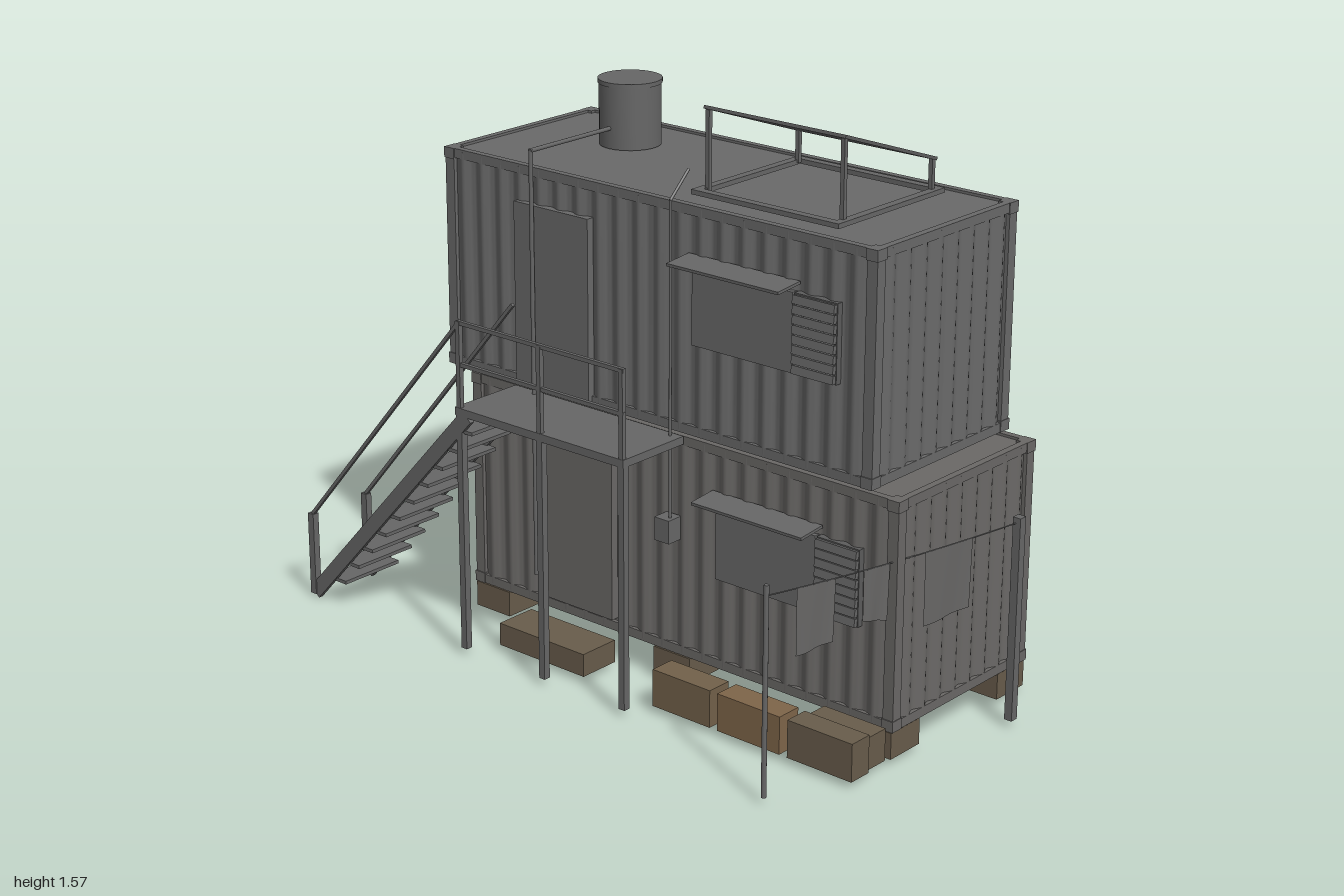
import * as THREE from 'three';
import { toCreasedNormals } from 'three/addons/utils/BufferGeometryUtils.js';

const paint = (color, extra = {}) => new THREE.MeshStandardMaterial({ color, ...extra });
const steel = paint(0x666666);
const upperWall = paint(0x696969);
const lowerWall = paint(0x6a6866);
const darkSteel = paint(0x5c5c5c);
const fabric = paint(0x666564, { side: THREE.DoubleSide });
const timber = paint(0x685c4b);
const brownTimber = paint(0x72614a);
const lightTimber = paint(0x7e6549);

export function createModel() {
  const root = new THREE.Group();

  const add = (name, geometry, material = steel, parent = root) => {
    const mesh = new THREE.Mesh(geometry, material);
    mesh.name = name;
    parent.add(mesh);
    return mesh;
  };
  // Box given by its limits on each axis
  const box = (name, [x0, x1], [y0, y1], [z0, z1], material = steel, parent = root) => {
    const mesh = add(name, new THREE.BoxGeometry(x1 - x0, y1 - y0, z1 - z0), material, parent);
    mesh.position.set((x0 + x1) / 2, (y0 + y1) / 2, (z0 + z1) / 2);
    return mesh;
  };
  // Rectangular beam between two points
  const beam = (name, a, b, w, h = w, material = steel) => {
    const p = new THREE.Vector3(...a), q = new THREE.Vector3(...b);
    const mesh = add(name, new THREE.BoxGeometry(w, h, p.distanceTo(q)), material);
    mesh.position.copy(p).lerp(q, 0.5);
    mesh.lookAt(q);
  };
  // Round pipe made of straight runs through a few points
  const pipe = (name, points, r) => {
    for (let i = 1; i < points.length; i++) {
      const p = new THREE.Vector3(...points[i - 1]), q = new THREE.Vector3(...points[i]);
      const run = new THREE.CylinderGeometry(r, r, p.distanceTo(q) + r, 10).rotateX(Math.PI / 2);
      const mesh = add(name, run);
      mesh.position.copy(p).lerp(q, 0.5);
      mesh.lookAt(q);
    }
  };

  // Wavy container outline, extruded upwards
  const ribbedWalls = (length, width, height) => {
    const pts = [], depth = 0.012, steps = 10, centre = new THREE.Vector2();
    const sides = [[length, width, 20], [width, length, 8], [length, width, 20], [width, length, 8]];
    sides.forEach(([len, across, ribs], turn) => {
      const run = len - 0.06, n = ribs * steps;
      for (let i = 0; i <= n; i++) {
        const d = depth * (0.5 + 0.5 * Math.cos(i / steps * Math.PI * 2));
        pts.push(new THREE.Vector2(-run / 2 + run * i / n, -across / 2 + d).rotateAround(centre, turn * Math.PI / 2));
      }
    });
    const g = new THREE.ExtrudeGeometry(new THREE.Shape(pts), { depth: height, bevelEnabled: false });
    return toCreasedNormals(g.rotateX(-Math.PI / 2), 0.7);
  };

  const container = (name, cx, y0, h, material) => {
    const g = new THREE.Group(), L = 1.46, W = 0.58;
    g.name = name;
    g.position.set(cx, y0, -0.185);
    root.add(g);
    add('ribbedWalls', ribbedWalls(L + 0.001, W + 0.001, h - 0.014), material, g).position.y = 0.007;
    for (const s of [-1, 1]) {
      for (const y of [0, h - 0.026]) {
        const z = s * (W / 2 - 0.01), x = s * (L / 2 - 0.01);
        box('longRail', [-L / 2, L / 2], [y, y + 0.026], [z - 0.01, z + 0.01], material, g);
        box('endRail', [x - 0.01, x + 0.01], [y, y + 0.026], [-W / 2, W / 2], material, g);
      }
      for (const t of [-1, 1]) {
        const x = s * (L / 2 - 0.016), z = t * (W / 2 - 0.016);
        box('cornerPost', [x - 0.016, x + 0.016], [0, h], [z - 0.016, z + 0.016], material, g);
        for (const y of [0, h - 0.03])
          box('cornerCasting', [x - 0.018, x + 0.018], [y, y + 0.03], [z - 0.019, z + 0.019], material, g);
      }
    }
  };
  container('lowerContainer', 0.165, 0.1, 0.622, lowerWall);
  container('upperContainer', 0.08, 0.73, 0.615, upperWall);

  // Locking rods on the lower end
  for (const z of [-0.36, -0.24, -0.13, -0.01])
    pipe('lockRod', [[-0.578, 0.16, z], [-0.578, 0.67, z]], 0.006);

  // Foundation blocks, doorstep and timber planters
  for (const x of [-0.5, 0.163, 0.83])
    for (const z of [-0.415, 0.047])
      box('foundationBlock', [x - 0.063, x + 0.063], [0.025, 0.098], [z - 0.06, z + 0.06], timber);
  box('doorStep', [-0.325, -0.015], [0.025, 0.09], [0.135, 0.26], timber);
  box('planter', [0.24, 0.435], [0.025, 0.13], [0.195, 0.27], brownTimber);
  box('planter', [0.46, 0.665], [0.025, 0.13], [0.195, 0.27], lightTimber);
  box('planter', [0.69, 0.895], [0.025, 0.13], [0.2, 0.27], timber);
  box('backPlanter', [0.69, 0.885], [0.025, 0.115], [0.12, 0.197], timber);

  // Doors and entrance lamp
  box('lowerDoor', [-0.3, -0.04], [0.135, 0.625], [0.09, 0.118], lowerWall);
  box('upperDoor', [-0.385, -0.12], [0.74, 1.245], [0.09, 0.118], upperWall);
  box('lampPlate', [-0.21, -0.14], [0.625, 0.655], [0.1, 0.122]);
  const lamp = add('lamp', new THREE.SphereGeometry(0.012, 12, 8), darkSteel);
  lamp.position.set(-0.175, 0.632, 0.135);

  // Windows with awning and slatted shutter
  const windowUnit = (x, y) => {
    box('windowPane', [x, x + 0.325], [y, y + 0.21], [0.09, 0.115], upperWall);
    beam('awning', [x + 0.157, y + 0.234, 0.1], [x + 0.157, y + 0.226, 0.187], 0.36, 0.008);
    box('shutterBack', [x + 0.33, x + 0.465], [y, y + 0.21], [0.09, 0.114], darkSteel);
    for (let i = 0; i < 8; i++) {
      const yy = y + 0.003 + i * 0.026;
      box('shutterSlat', [x + 0.332, x + 0.463], [yy, yy + 0.022], [0.114, 0.126]).rotation.x = -0.15;
    }
  };
  windowUnit(0.235, 0.98);
  windowUnit(0.32, 0.358);

  // Landing with legs and railing
  box('landing', [-0.395, 0.205], [0.702, 0.724], [0.11, 0.343]);
  for (const x of [-0.382, -0.09, 0.195]) {
    box('landingLeg', [x - 0.01, x + 0.01], [0.025, 0.702], [0.322, 0.342]);
    box('railPost', [x - 0.007, x + 0.007], [0.72, 0.965], [0.328, 0.342]);
  }
  for (const y of [0.845, 0.961]) beam('landingRail', [-0.385, y, 0.335], [0.203, y, 0.335], 0.011);

  // Stairs with handrails
  for (const z of [0.13, 0.335]) {
    beam('stringer', [-0.983, 0.02, z], [-0.355, 0.705, z], 0.014, 0.042);
    box('newelPost', [-0.997, -0.975], [0.015, 0.26], [z - 0.01, z + 0.01]);
    beam('handrail', [-0.986, 0.258, z], [-0.382, 0.96, z], 0.01);
  }
  for (let i = 0; i < 10; i++) {
    const x = -0.895 + i * 0.0575, y = 0.08 + i * 0.064;
    box('tread', [x - 0.036, x + 0.036], [y - 0.005, y + 0.005], [0.13, 0.335]);
  }

  // Water tank with rim, and its downpipe
  const tankProfile = [[0, 0], [0.085, 0], [0.085, 0.17], [0.088, 0.17], [0.088, 0.182], [0, 0.183]];
  const tank = toCreasedNormals(new THREE.LatheGeometry(tankProfile.map(p => new THREE.Vector2(...p)), 32), 0.6);
  add('waterTank', tank, steel).position.set(-0.308, 1.342, -0.26);
  pipe('downPipe', [[-0.308, 0.2, 0.13], [-0.308, 1.398, 0.13], [-0.308, 1.398, -0.2]], 0.006);

  // Meter box and cable conduit
  box('meterBox', [0.14, 0.19], [0.43, 0.495], [0.1, 0.15]);
  pipe('conduit', [[0.175, 0.49, 0.128], [0.175, 1.355, 0.128], [0.175, 1.42, 0.06]], 0.004);

  // Tilted roof panel on its frame
  for (const z of [-0.4, 0.015]) box('panelBase', [0.155, 0.63], [1.345, 1.358], [z - 0.012, z + 0.012]);
  for (const x of [0.167, 0.618]) box('panelBase', [x - 0.012, x + 0.012], [1.345, 1.358], [-0.41, 0.025]);
  for (const x of [0.178, 0.61]) {
    box('panelLeg', [x - 0.006, x + 0.006], [1.35, 1.562], [-0.021, -0.009]);
    box('panelLeg', [x - 0.006, x + 0.006], [1.35, 1.44], [-0.386, -0.374]);
  }
  beam('roofPanel', [0.394, 1.437, -0.388], [0.394, 1.569, -0.006], 0.452, 0.009, darkSteel);

  // Clothes line with hanging cloths
  box('linePost', [0.974, 0.997], [0.025, 0.59], [-0.297, -0.273]);
  pipe('linePole', [[0.78, 0.028, 0.472], [0.78, 0.587, 0.472]], 0.007);
  const line = new THREE.QuadraticBezierCurve3(new THREE.Vector3(0.78, 0.562, 0.472),
    new THREE.Vector3(0.883, 0.55, 0.093), new THREE.Vector3(0.985, 0.575, -0.285));
  add('clothesLine', new THREE.TubeGeometry(line, 24, 0.002, 6));
  for (const [z0, z1, dropA, dropB] of [[0.385, 0.272, 0.18, 0.165], [0.19, 0.112, 0.135, 0.15], [0.005, -0.14, 0.2, 0.185]]) {
    const cloth = new THREE.PlaneGeometry(1, 1, 8, 6), p = cloth.attributes.position;
    for (let i = 0; i < p.count; i++) {
      const u = p.getX(i) + 0.5, v = 0.5 - p.getY(i);
      const z = z0 + (z1 - z0) * u;
      const top = line.getPoint((0.472 - z) / 0.757);
      p.setXYZ(i, top.x + 0.004 * v * Math.sin(u * 7), top.y - v * (dropA + (dropB - dropA) * u), z + 0.01 * v * u);
    }
    cloth.computeVertexNormals();
    add('hangingCloth', cloth, fabric);
  }
  return root;
}
